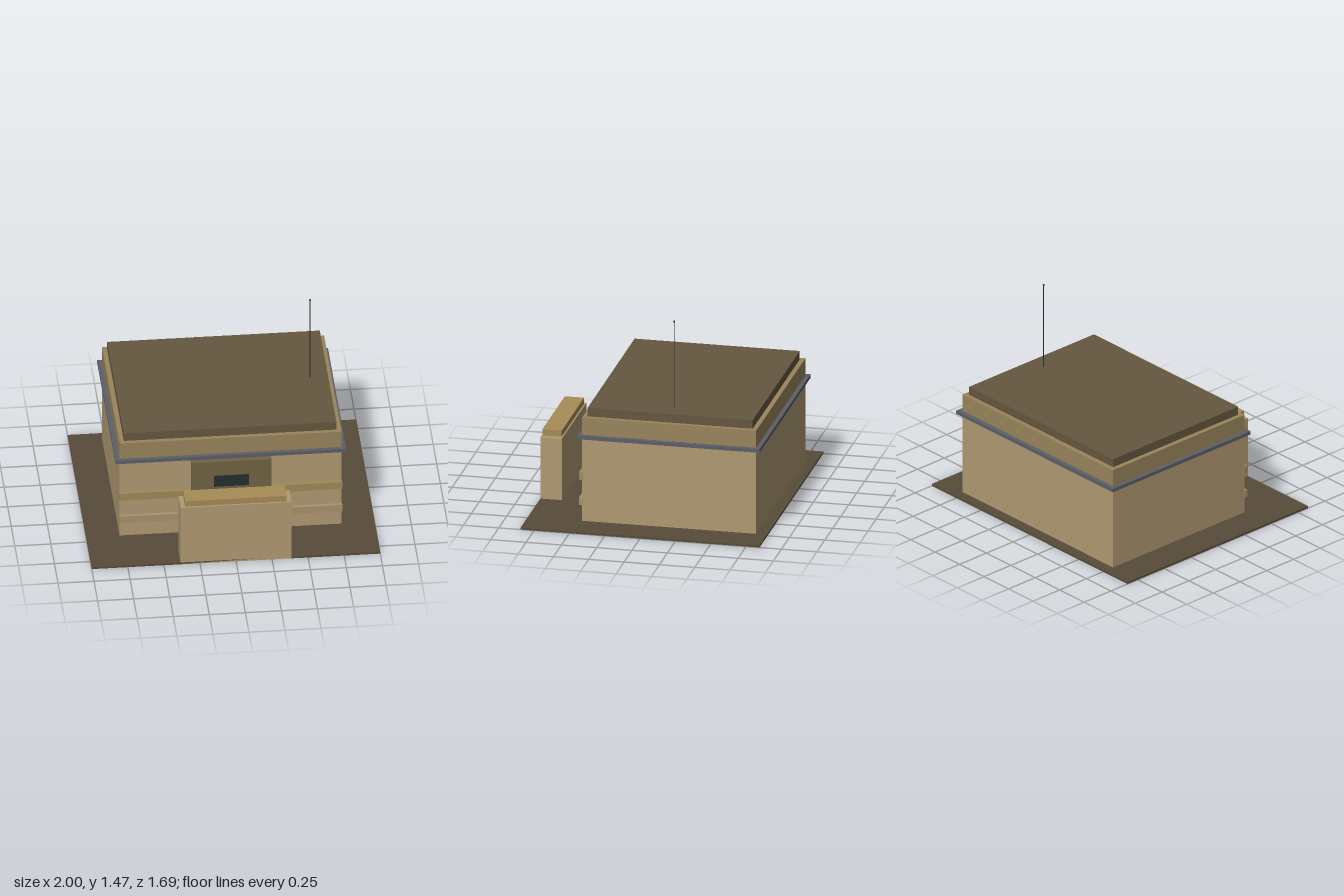
import * as THREE from 'three';

export function createModel() {
  const model = new THREE.Group();
  const mats = {};
  const mat = (color) => (mats[color] ??= new THREE.MeshStandardMaterial({ color }));

  // Axis-aligned block given by its extents
  function block(name, color, [x0, x1], [y0, y1], [z0, z1]) {
    const mesh = new THREE.Mesh(new THREE.BoxGeometry(x1 - x0, y1 - y0, z1 - z0), mat(color));
    mesh.position.set((x0 + x1) / 2, (y0 + y1) / 2, (z0 + z1) / 2);
    mesh.name = name;
    model.add(mesh);
  }
  const wide = (half) => [-half, half];

  const sand = 0xb09a72, ochre = 0xa68d57, dark = 0x2a2d30;

  // Ground slab and main building, stepped towards the roof
  block('groundSlab', 0x584c3a, wide(1), [0, 0.015], wide(0.845));
  block('buildingWalls', sand, wide(0.77), [0, 0.64], [-0.77, 0.462]);
  block('metalTrim', 0x5c5f68, wide(0.8), [0.62, 0.645], [-0.8, 0.49]);
  block('parapet', 0x9a855c, wide(0.77), [0.64, 0.77], [-0.77, 0.462]);
  block('roofSlab', 0x665840, wide(0.737), [0.77, 0.832], [-0.737, 0.431]);

  // Horizontal bands across the front
  block('lowerBand', 0xa8946e, wide(0.773), [0.13, 0.183], [0.455, 0.484]);
  block('upperBand', 0xa08a58, wide(0.773), [0.315, 0.37], [0.455, 0.484]);

  // Recessed doorway, the panel in front of it and its viewing slit
  block('doorway', dark, wide(0.2), [0.015, 0.555], [0.455, 0.487]);
  block('entrancePanel', 0x706444, wide(0.277), [0.015, 0.62], [0.487, 0.53]);
  block('viewingSlit', dark, wide(0.122), [0.42, 0.508], [0.525, 0.534]);

  // Free-standing blast wall with its cap
  block('blastWall', sand, wide(0.384), [0, 0.463], [0.693, 0.845]);
  block('blastWallCap', ochre, wide(0.352), [0.467, 0.511], [0.701, 0.838]);

  // Roof antenna with a small ball tip
  const antenna = new THREE.Group();
  antenna.name = 'antenna';
  antenna.position.set(0.612, 0.83, -0.154);
  const mast = new THREE.Mesh(new THREE.CylinderGeometry(0.003, 0.003, 0.635, 8), mat(dark));
  mast.name = 'antennaMast';
  mast.position.y = 0.3175;
  const tip = new THREE.Mesh(new THREE.SphereGeometry(0.007, 10, 8), mat(dark));
  tip.name = 'antennaTip';
  tip.position.y = 0.637;
  antenna.add(mast, tip);
  model.add(antenna);

  return model;
}
